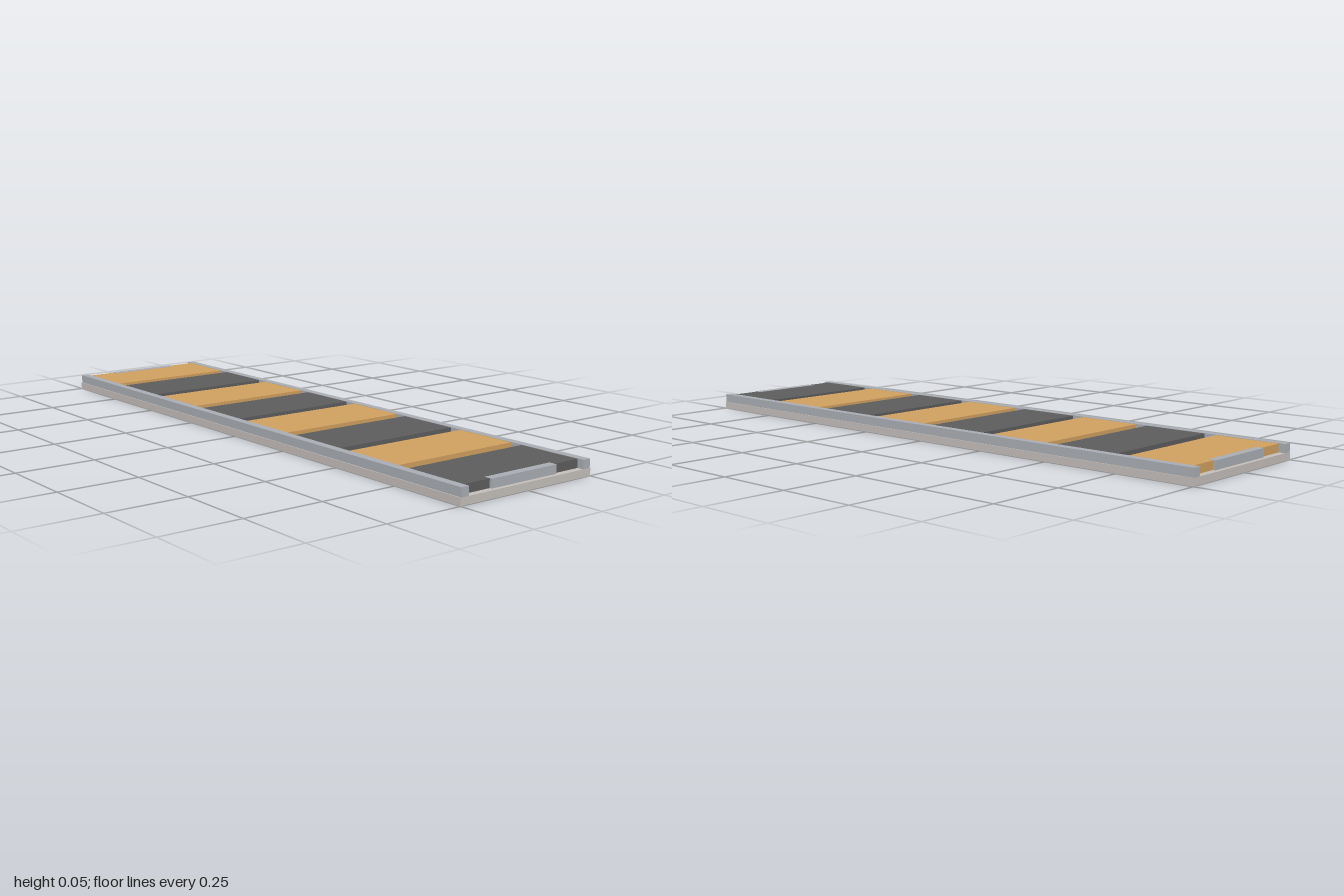
import * as THREE from 'three';

export function createModel() {
  const model = new THREE.Group();
  const paint = (color) => new THREE.MeshStandardMaterial({ color });
  const baseMat = paint(0xc4beba);
  const metal = paint(0xa9adb3);
  const dark = paint(0x5c5c5c);
  const amber = paint(0xcf9f5f);

  // Box given by its centre in x and z, with its bottom and top heights
  function slab(name, material, width, depth, bottom, top, x, z) {
    const mesh = new THREE.Mesh(new THREE.BoxGeometry(width, top - bottom, depth), material);
    mesh.name = name;
    mesh.position.set(x, (bottom + top) / 2, z);
    model.add(mesh);
  }

  const deck = 0.023, top = 0.05;

  // Base plate
  slab('basePlate', baseMat, 0.502, 2, 0, deck, 0, 0);

  // Side rails and end clips
  for (const side of [1, -1]) {
    slab(side > 0 ? 'leftRail' : 'rightRail', metal, 0.027, 2, deck, top, side * 0.2345, 0);
    slab(side > 0 ? 'frontClip' : 'backClip', metal, 0.25, 0.026, deck, top, 0, side * 0.974);
  }

  // Eight panels of alternating colour, with gaps showing the base
  for (let i = 0; i < 8; i++) {
    const z = 0.875 - i * 0.25;
    slab(i % 2 ? 'amberPanel' : 'darkPanel', i % 2 ? amber : dark, 0.44, 0.209, deck, top - 0.0008, 0, z);
  }
  return model;
}
